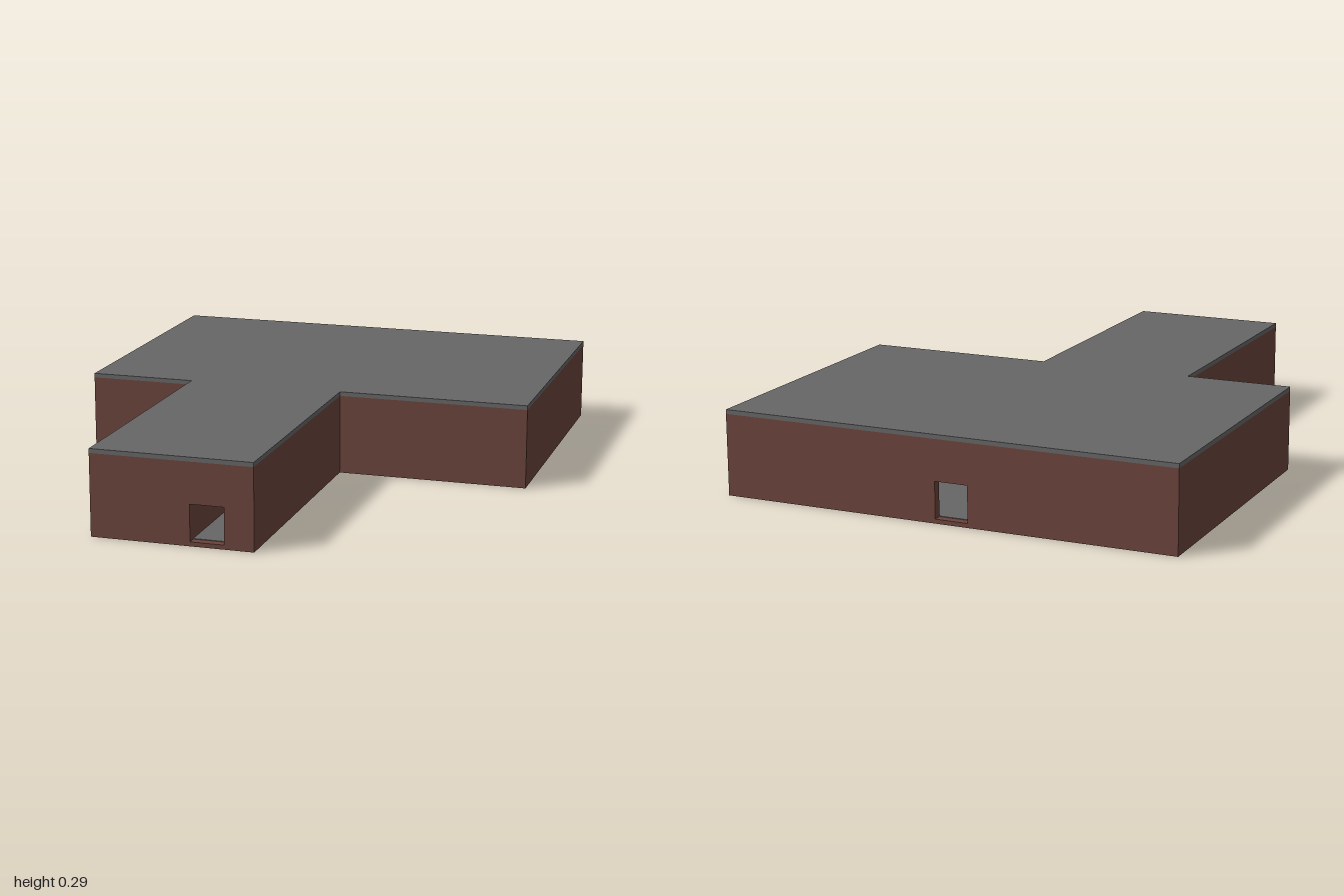
import * as THREE from 'three';

const brick = new THREE.MeshStandardMaterial({ color: 0x6b443c });
brick.name = 'brick';
const slate = new THREE.MeshStandardMaterial({ color: 0x666666 });
slate.name = 'slate';

const T = 0.03;                          // wall thickness
const BASE = 0.015, EAVES = 0.28, TOP = 0.295;
const DOOR = { x0: -0.085, x1: 0.03, top: 0.14 };
const HALL = { x0: -0.8, x1: 0.8, z0: -1, z1: 0.05 };
const WING = { x0: -0.425, x1: 0.13, z1: 1 };

// T-shaped plan slab between two heights, optionally inset from the outline
function planSlab(name, y0, y1, material, inset = 0) {
  const i = inset;
  const plan = [
    [HALL.x0 + i, HALL.z0 + i], [HALL.x1 - i, HALL.z0 + i],
    [HALL.x1 - i, HALL.z1 - i], [WING.x1 - i, HALL.z1 - i],
    [WING.x1 - i, WING.z1 - i], [WING.x0 + i, WING.z1 - i],
    [WING.x0 + i, HALL.z1 - i], [HALL.x0 + i, HALL.z1 - i],
  ].map(([x, z]) => new THREE.Vector2(x, -z));
  const geometry = new THREE.ExtrudeGeometry(new THREE.Shape(plan), { depth: y1 - y0, bevelEnabled: false });
  geometry.rotateX(-Math.PI / 2);
  const mesh = new THREE.Mesh(geometry, material);
  mesh.position.y = y0;
  mesh.name = name;
  return mesh;
}

// Plain wall filling a rectangle of the plan
function wall(name, x0, x1, z0, z1) {
  const mesh = new THREE.Mesh(new THREE.BoxGeometry(x1 - x0, EAVES - BASE, z1 - z0), brick);
  mesh.position.set((x0 + x1) / 2, (BASE + EAVES) / 2, (z0 + z1) / 2);
  mesh.name = name;
  return mesh;
}

// Wall across the building with the doorway cut out of it
function doorWall(name, x0, x1, z0) {
  const shape = new THREE.Shape([
    [x0, BASE], [DOOR.x0, BASE], [DOOR.x0, DOOR.top], [DOOR.x1, DOOR.top],
    [DOOR.x1, BASE], [x1, BASE], [x1, EAVES], [x0, EAVES],
  ].map(([x, y]) => new THREE.Vector2(x, y)));
  const mesh = new THREE.Mesh(new THREE.ExtrudeGeometry(shape, { depth: T, bevelEnabled: false }), brick);
  mesh.position.z = z0;
  mesh.name = name;
  return mesh;
}

export function createModel() {
  const model = new THREE.Group();
  model.name = 'building';

  // Foundation, inside floor and flat roof
  model.add(
    planSlab('foundation', 0, BASE, brick),
    planSlab('floor', BASE, BASE + 0.002, slate, T),
    planSlab('roof', EAVES, TOP, slate),
  );

  // Walls with doorways, all in line
  model.add(
    doorWall('backWall', HALL.x0, HALL.x1, HALL.z0),
    doorWall('hallFrontWall', HALL.x0, HALL.x1, HALL.z1 - T),
    doorWall('wingFrontWall', WING.x0, WING.x1, WING.z1 - T),
  );

  // Side walls of the hall and the wing
  model.add(
    wall('hallRightWall', HALL.x0, HALL.x0 + T, HALL.z0 + T, HALL.z1 - T),
    wall('hallLeftWall', HALL.x1 - T, HALL.x1, HALL.z0 + T, HALL.z1 - T),
    wall('wingRightWall', WING.x0, WING.x0 + T, HALL.z1, WING.z1 - T),
    wall('wingLeftWall', WING.x1 - T, WING.x1, HALL.z1, WING.z1 - T),
  );

  // Inner wall beside the entrance passage
  model.add(wall('passageWall', DOOR.x0 - T, DOOR.x0, HALL.z1, WING.z1 - T));

  return model;
}
